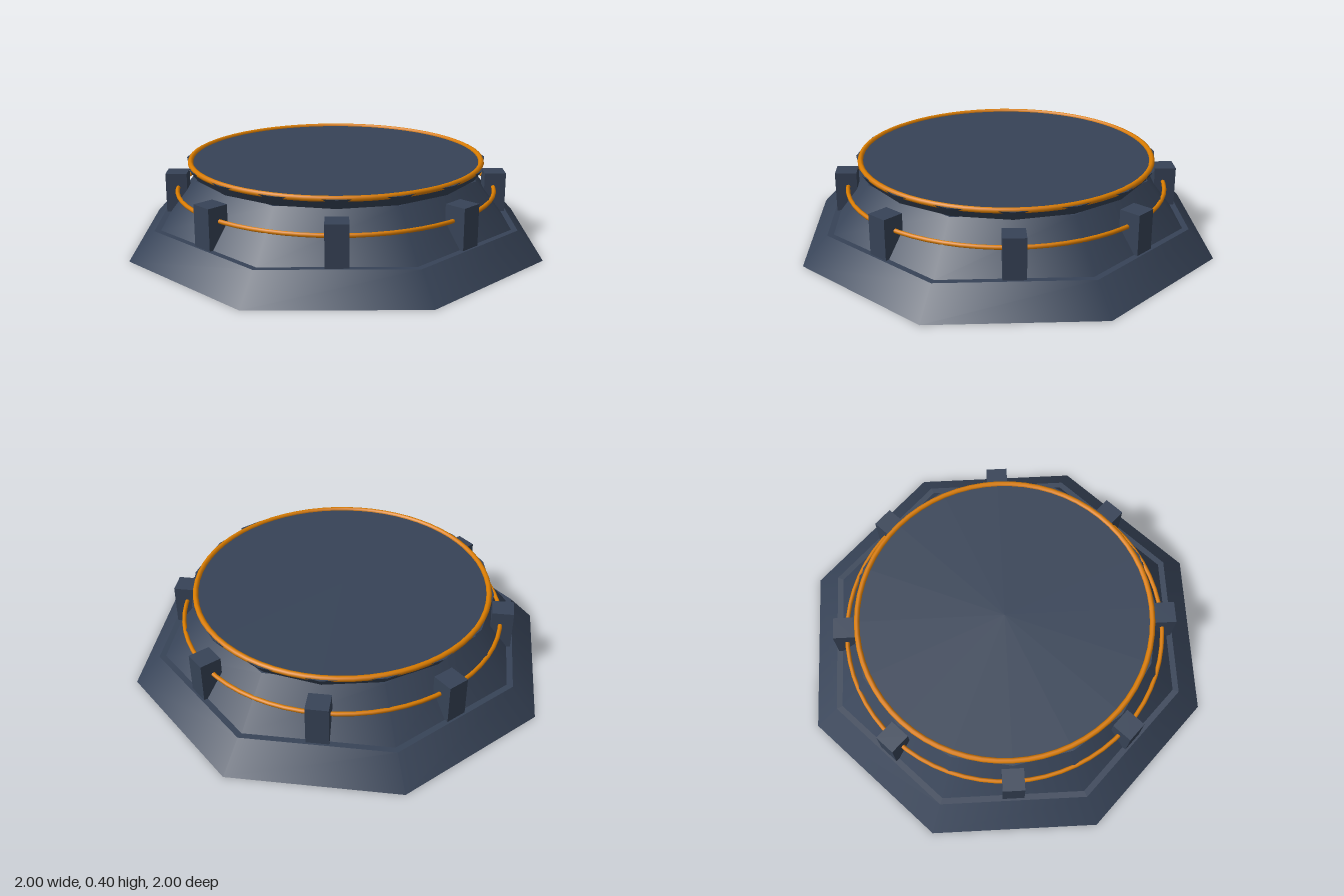
import * as THREE from 'three';

export function createModel() {
  const model = new THREE.Group();
  const slate = new THREE.MeshStandardMaterial({ color: 0x374357 });
  slate.name = 'slate';
  const orange = new THREE.MeshStandardMaterial({ color: 0xd97c00 });
  orange.name = 'orange';

  const add = (name, geometry, material, y) => {
    const mesh = new THREE.Mesh(geometry, material);
    mesh.name = name;
    mesh.position.y = y;
    model.add(mesh);
    return mesh;
  };
  // Tapered tier standing between two heights
  const tier = (name, rTop, rBottom, y0, y1, sides) =>
    add(name, new THREE.CylinderGeometry(rTop, rBottom, y1 - y0, sides), slate, (y0 + y1) / 2);
  // Horizontal glowing ring
  const ring = (name, radius, tube, y) =>
    add(name, new THREE.TorusGeometry(radius, tube, 8, 64).rotateX(Math.PI / 2), orange, y);

  // Octagonal base and body, flared round platform
  tier('base', 0.88, 1, 0, 0.127, 8);
  tier('body', 0.68, 0.85, 0.127, 0.335, 8);
  tier('platform', 0.705, 0.67, 0.335, 0.383, 16);

  // Trim rings
  ring('platformRing', 0.682, 0.013, 0.382);
  ring('bodyRing', 0.747, 0.01, 0.247);

  // Blocks around the body, one in the middle of each side
  for (let i = 0; i < 8; i++) {
    const angle = (i + 0.5) * Math.PI / 4;
    const block = add('block', new THREE.BoxGeometry(0.1, 0.187, 0.1), slate, 0.22);
    block.position.x = 0.753 * Math.sin(angle);
    block.position.z = 0.753 * Math.cos(angle);
    block.rotation.y = angle;
  }
  return model;
}
